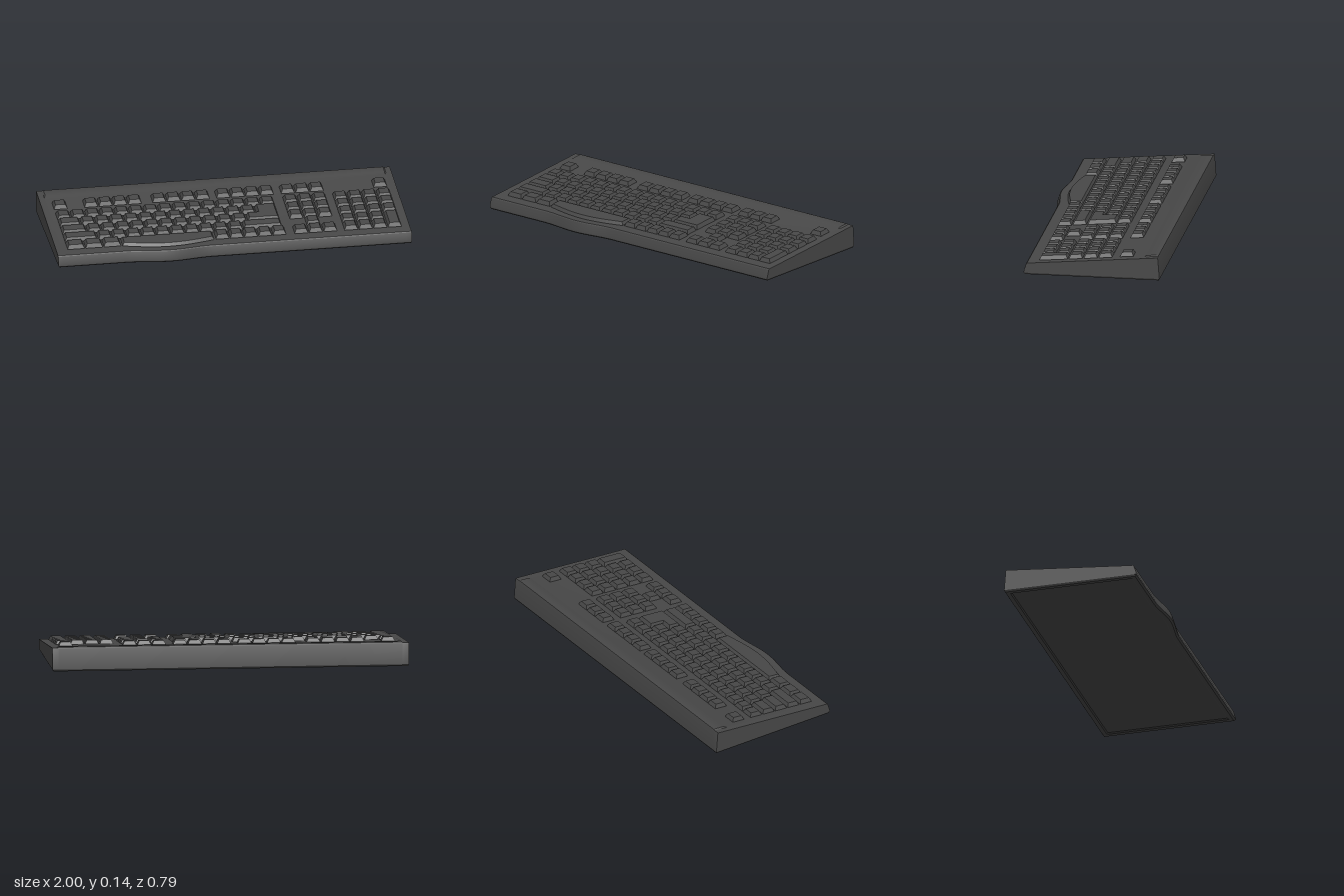
import * as THREE from 'three';
import { toCreasedNormals } from 'three/addons/utils/BufferGeometryUtils.js';

const material = new THREE.MeshStandardMaterial({ color: 0x484848 });
const UNIT = 0.0823, GAP = 0.008, LEFT = -0.935;

// height of the sloping deck
const deckY = z => 0.066 + (0.358 - z) * 0.0886;

// forward swelling of the front edge below the space bar
function bulge(x) {
  const t = Math.abs(x + 0.37) / 0.25;
  return t < 1 ? 0.025 * (0.5 + 0.5 * Math.cos(Math.PI * t)) : 0;
}

// side cross-section of the case as [z, y], from front underside, over the deck, to the back
function caseSection(x) {
  const inner = Math.abs(x) < 0.965 ? 1 : 0;
  const b = bulge(x), lift = 0.006 * inner;
  const points = [
    [0.345 + b * 0.8, 0], [0.365 + b, 0], [0.375 + b, 0.008], [0.374 + b, 0.022],
    [0.361 + b, 0.062], [0.355 + b, 0.067], [0.34, deckY(0.34)],
    [-0.30, deckY(-0.30)], [-0.318, deckY(-0.318) + lift],
    [-0.37, deckY(-0.37) + lift], [-0.382, deckY(-0.382) + lift * 0.4],
    [-0.385, 0.125], [-0.394, 0.008], [-0.389, 0],
    [-0.365, 0], [-0.358, lift], [0.335 + b * 0.8, lift],
  ];
  // softened lower corners at both ends
  return Math.abs(x) > 0.999 ? points.map(([z, y]) => [z * 0.997, Math.max(y, 0.01)]) : points;
}

function caseGeometry() {
  const xs = [-1, -0.994, -0.968, -0.96];
  for (let i = 0; i <= 32; i++) xs.push(-0.64 + i * 0.54 / 32);
  xs.push(0.96, 0.968, 0.994, 1);
  const sections = xs.map(caseSection), n = sections[0].length;
  const position = [], index = [];
  sections.forEach((s, i) => s.forEach(([z, y]) => position.push(xs[i], y, z)));
  for (let i = 0; i < xs.length - 1; i++) {
    for (let j = 0; j < n; j++) {
      const k = (j + 1) % n;
      const a = i * n + j, b = a + n, c = (i + 1) * n + k, d = i * n + k;
      index.push(a, b, c, a, c, d);
    }
  }
  const last = (xs.length - 1) * n;
  for (let j = 1; j < n - 1; j++) {
    index.push(0, j, j + 1, last, last + j + 1, last + j);
  }
  const g = new THREE.BufferGeometry();
  g.setAttribute('position', new THREE.Float32BufferAttribute(position, 3));
  g.setIndex(index);
  return toCreasedNormals(g, 0.4);
}

// tapered key from an outline in plan, lifted to follow the deck
function keyMesh(name, outline, height = 0.023) {
  const shape = new THREE.Shape(outline.map(([x, z]) => new THREE.Vector2(x, -z)));
  const g = new THREE.ExtrudeGeometry(shape, {
    depth: 0.003, bevelEnabled: true, bevelThickness: height - 0.003,
    bevelSize: 0.01, bevelOffset: -0.01, bevelSegments: 1,
  });
  g.rotateX(-Math.PI / 2);
  const p = g.attributes.position;
  for (let i = 0; i < p.count; i++) p.setY(i, p.getY(i) + deckY(p.getZ(i)));
  g.computeVertexNormals();
  const mesh = new THREE.Mesh(g, material);
  mesh.name = name;
  return mesh;
}

const rect = (x0, x1, z0, z1) => [[x0, z1], [x1, z1], [x1, z0], [x0, z0]];

export function createModel() {
  const model = new THREE.Group();
  model.name = 'keyboard';
  const body = new THREE.Mesh(caseGeometry(), material);
  body.name = 'case';
  model.add(body);

  // back and front limits of each row: function row first, then the five main rows
  const rows = [[-0.237, -0.163]];
  for (let i = 0; i < 5; i++) rows.push([-0.118 + i * 0.084, -0.043 + i * 0.084]);

  const blocks = {};
  for (const name of ['functionKeys', 'mainKeys', 'navigationKeys', 'numberPad']) {
    blocks[name] = new THREE.Group();
    blocks[name].name = name;
    model.add(blocks[name]);
  }

  // a run of keys; widths are in key units
  function run(block, row, x, widths) {
    for (const w of widths) {
      blocks[block].add(keyMesh('key', rect(x, x + w * UNIT - GAP, ...rows[row])));
      x += w * UNIT;
    }
  }
  const ones = n => Array(n).fill(1);

  // function row
  run('functionKeys', 0, LEFT, [1]);
  for (const x of [-0.762, -0.377, -0.015]) run('functionKeys', 0, x, ones(4));
  run('functionKeys', 0, 0.35, ones(3));
  run('functionKeys', 0, 0.873, [1]);

  // main block
  run('mainKeys', 1, LEFT, ones(15));
  run('mainKeys', 2, LEFT, [1.5, ...ones(12)]);
  run('mainKeys', 3, LEFT, [1.75, ...ones(11)]);
  run('mainKeys', 4, LEFT, [2.3, ...ones(10), 2.7]);
  run('mainKeys', 5, LEFT, [1.25, 1.25, 1.25]);
  run('mainKeys', 5, -0.095, Array(5).fill(0.98));

  // stepped enter key
  const right = LEFT + 15 * UNIT - GAP;
  const upper = LEFT + 13.5 * UNIT, lower = LEFT + 12.75 * UNIT;
  blocks.mainKeys.add(keyMesh('enterKey', [
    [lower, rows[3][1]], [right, rows[3][1]], [right, rows[2][0]],
    [upper, rows[2][0]], [upper, rows[3][0]], [lower, rows[3][0]],
  ]));

  // space bar with a curved front edge
  const x0 = -0.624, x1 = -0.107, space = [];
  for (let i = 0; i <= 20; i++) {
    const t = i / 20;
    space.push([x0 + (x1 - x0) * t, 0.295 + 0.04 * Math.sin(Math.PI * t)]);
  }
  space.push([x1, rows[5][0]], [x0, rows[5][0]]);
  blocks.mainKeys.add(keyMesh('spaceBar', space, 0.018));

  // navigation block and arrows
  for (const row of [1, 2, 3, 5]) run('navigationKeys', row, 0.35, ones(3));
  run('navigationKeys', 4, 0.35 + UNIT, [1]);

  // number pad, with a double-height key at its front corner
  const padX = 0.632;
  for (let row = 1; row <= 5; row++) run('numberPad', row, padX, ones(row < 4 ? 4 : 3));
  const tall = padX + 3 * UNIT;
  blocks.numberPad.add(keyMesh('tallKey', rect(tall, tall + UNIT - GAP, rows[4][0], rows[5][1])));

  return model;
}
